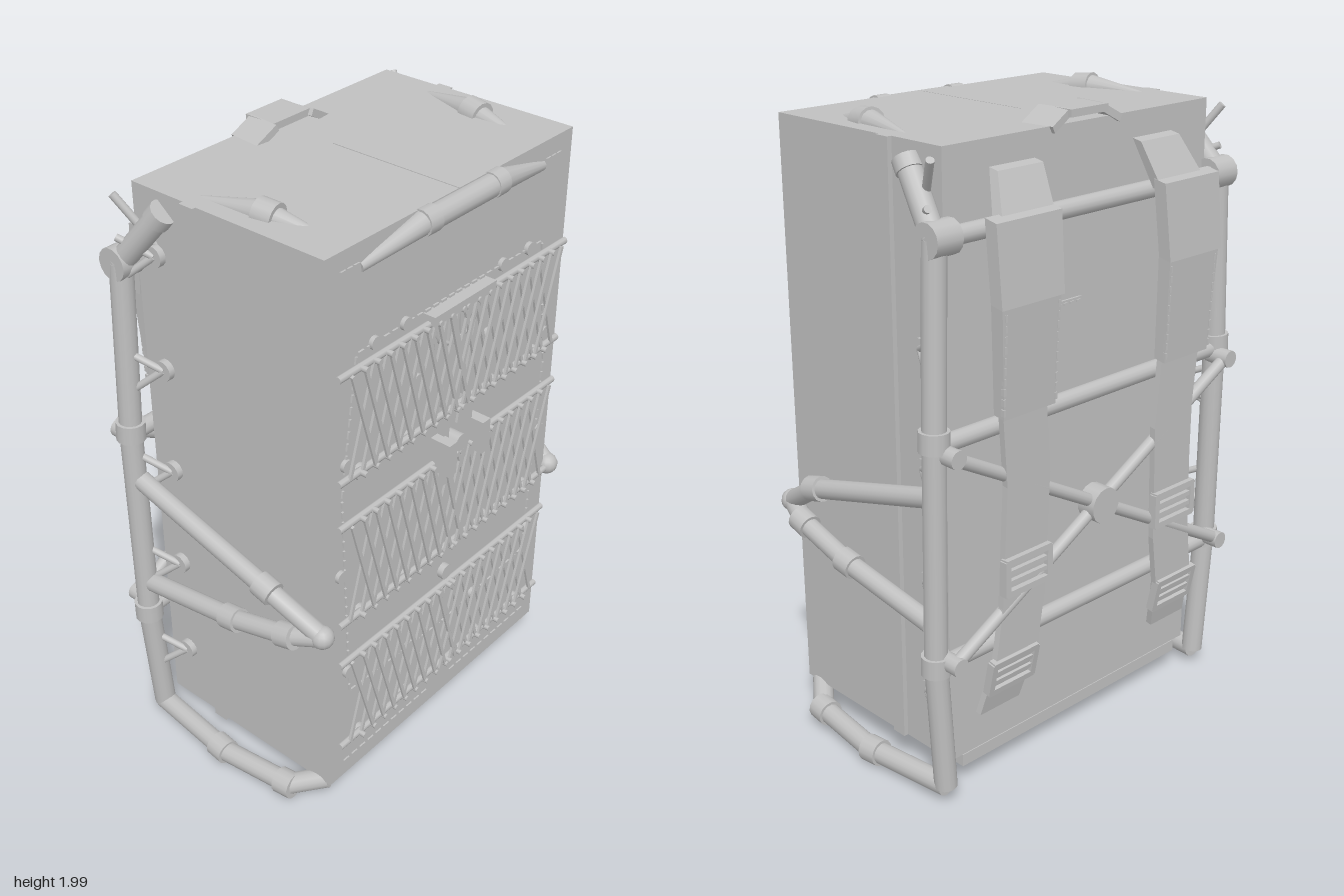
import * as THREE from 'three';

const grey = new THREE.MeshStandardMaterial({ color: 0xc0c0c0 });
grey.name = 'light grey';
const V = (x, y, z) => new THREE.Vector3(x, y, z);
const UP = V(0, 1, 0);

function add(parent, name, geometry, x = 0, y = 0, z = 0) {
  const m = new THREE.Mesh(geometry, grey);
  m.name = name;
  m.position.set(x, y, z);
  parent.add(m);
  return m;
}
const box = (parent, name, w, h, d, x, y, z) => add(parent, name, new THREE.BoxGeometry(w, h, d), x, y, z);

// Cylinder between two points; r2 is the radius at b
function rod(parent, name, a, b, r, r2 = r, sides = 14) {
  const d = b.clone().sub(a);
  const m = add(parent, name, new THREE.CylinderGeometry(r2, r, d.length(), sides));
  m.position.copy(a).add(b).multiplyScalar(0.5);
  m.quaternion.setFromUnitVectors(UP, d.normalize());
  return m;
}

// Short ring around the segment a-b, at fraction t
function collar(parent, a, b, t, r, len = 0.06) {
  const c = a.clone().lerp(b, t);
  const d = b.clone().sub(a).normalize().multiplyScalar(len / 2);
  rod(parent, 'collar', c.clone().sub(d), c.clone().add(d), r);
}

// Chain of tubes with round joints
function pipe(parent, name, pts, r) {
  for (let i = 0; i + 1 < pts.length; i++) {
    rod(parent, name, pts[i], pts[i + 1], r);
    if (i) add(parent, 'joint', new THREE.SphereGeometry(r * 1.02, 14, 10)).position.copy(pts[i]);
  }
}

// Flat bar between two points on the front plane
function slat(parent, x1, y1, x2, y2, z, w = 0.011) {
  const m = box(parent, 'latticeSlat', w, Math.hypot(x2 - x1, y2 - y1), 0.008, (x1 + x2) / 2, (y1 + y2) / 2, z);
  m.rotation.z = -Math.atan2(x2 - x1, y2 - y1);
}

function buildCabinet(g) {
  box(g, 'cabinetBack', 1.07, 1.845, 0.20, 0, 1.037, -0.217);
  box(g, 'cabinetBand', 1.1, 1.845, 0.05, 0, 1.037, -0.095);
  for (const s of [-1, 1]) {
    box(g, 'door', 0.5365, 1.845, 0.445, s * 0.27, 1.037, 0.1525);
    // Vent slits
    for (let i = 0; i < 11; i++) box(g, 'ventSlit', 0.026, 0.014, 0.008, s * (0.075 + i * 0.039), 0.172, 0.376);
    for (let i = 0; i < 3; i++) box(g, 'upperSlit', 0.02, 0.01, 0.008, s * (0.42 + i * 0.026), 1.9, 0.376);
    // Tapered bumper on the roof
    const a = V(s * 0.48, 1.95, -0.12), b = V(s * 0.445, 1.957, 0.08), c = V(s * 0.418, 1.94, 0.25);
    rod(g, 'roofBumper', a, b, 0.008, 0.038);
    rod(g, 'roofBumper', b, c, 0.038, 0.012);
    collar(g, b, c, 0.1, 0.044);
    // Tapered front bumper ends
    const d = V(s * 0.17, 1.925, 0.385), e = V(s * 0.4, 1.885, 0.368);
    rod(g, 'frontBumperEnd', d, e, 0.034, 0.016);
    collar(g, V(0, 1.925, 0.388), d, 0.88, 0.039, 0.05);
  }
  rod(g, 'frontBumper', V(-0.17, 1.925, 0.387), V(0.17, 1.925, 0.387), 0.034);
  box(g, 'bottomRail', 0.98, 0.04, 0.06, 0, 0.095, -0.29);
  // Grab handle on the roof edge
  box(g, 'topHandle', 0.15, 0.022, 0.11, 0, 1.988, -0.28);
  for (const s of [-1, 1]) {
    const m = box(g, 'handleSide', 0.085, 0.022, 0.11, s * 0.105, 1.97, -0.27);
    m.rotation.set(0, s * 0.1, -s * 0.5);
  }
  box(g, 'backPocket', 0.27, 0.31, 0.008, 0.145, 1.3, -0.32);
  for (let i = 0; i < 10; i++) box(g, 'pocketStitch', 0.016, 0.007, 0.006, 0.025 + i * 0.026, 1.445, -0.325);
}

function buildGrilles(g) {
  for (const [top, bottom] of [[1.612, 1.278], [1.122, 0.77], [0.615, 0.28]]) {
    for (const y of [top, bottom]) rod(g, 'grilleRail', V(-0.515, y, 0.395), V(0.515, y, 0.395), 0.011, 0.011, 8);
    for (const s of [-1, 1]) {
      // Crossed slats, the two halves overlapping at the middle
      for (let i = 0; i < 9; i++) {
        const x = -0.04 + i * 0.052;
        slat(g, s * x, top, s * (x + 0.1), bottom, 0.403);
        slat(g, s * (x + 0.1), top, s * x, bottom, 0.412);
        for (const y of [top, bottom]) {
          rod(g, 'slatPin', V(s * (x + 0.05), y, 0.39), V(s * (x + 0.05), y, 0.423), 0.009, 0.009, 8);
        }
      }
      for (const x of [0.19, 0.41]) rod(g, 'railHook', V(s * x, bottom - 0.015, 0.37), V(s * x, bottom - 0.015, 0.392), 0.025);
    }
  }
  // Latch hardware around the door gap
  box(g, 'latchBar', 0.28, 0.03, 0.045, 0, 1.625, 0.395);
  rod(g, 'lock', V(0, 1.16, 0.37), V(0, 1.16, 0.425), 0.028);
  for (const s of [-1, 1]) {
    box(g, 'doorHandle', 0.036, 0.11, 0.07, s * 0.08, 1.155, 0.42);
    box(g, 'handlePlate', 0.025, 0.24, 0.035, s * 0.055, 1.15, 0.392);
    slat(g, s * 0.1, 1.55, s * 0.03, 1.2, 0.385, 0.014);
    slat(g, s * 0.02, 1.6, s * 0.075, 1.02, 0.385, 0.014);
  }
  const arc = add(g, 'latchRing', new THREE.TorusGeometry(0.105, 0.008, 6, 20, Math.PI), 0, 1.6, 0.385);
  arc.rotation.z = Math.PI;

  // Dashed stitching outline and rivets
  const line = [[0, 1.645], [0.42, 1.64], [0.48, 1.2], [0.45, 0.46], [0, 0.43]];
  for (const s of [-1, 1]) {
    for (let i = 0; i < 4; i++) {
      const [x1, y1] = line[i], [x2, y2] = line[i + 1];
      const n = Math.round(Math.hypot(x2 - x1, y2 - y1) / 0.036);
      for (let k = 0; k < n; k++) {
        const t = (k + 0.5) / n;
        const m = box(g, 'stitch', 0.022, 0.007, 0.008, s * (x1 + (x2 - x1) * t), y1 + (y2 - y1) * t, 0.377);
        m.rotation.z = s * Math.atan2(y2 - y1, x2 - x1);
      }
    }
    for (const [x, y] of [[0.35, 1.645], [0.22, 1.645], [0.165, 1.44], [0.465, 1.31], [0.49, 0.935], [0.46, 0.55], [0.165, 0.45]]) {
      rod(g, 'rivet', V(s * x, y, 0.37), V(s * x, y, 0.388), 0.02);
    }
  }
  rod(g, 'rivet', V(0, 0.65, 0.37), V(0, 0.65, 0.395), 0.026);
}

// One side of the tube frame; s is the side of the model
function buildFrameSide(g, s) {
  const P = (x, y, z) => V(s * x, y, z);
  const post = [P(0.582, 1.73, -0.335), P(0.602, 1.16, -0.343), P(0.605, 0.48, -0.338), P(0.575, 0.06, -0.337)];
  pipe(g, 'framePost', post, 0.035);
  collar(g, post[0], post[1], 0.97, 0.045);
  collar(g, post[1], post[2], 0.99, 0.045);
  rod(g, 'shoulderJoint', P(0.525, 1.73, -0.338), P(0.615, 1.73, -0.338), 0.05);
  rod(g, 'upperBrace', post[0], P(0.545, 1.91, -0.19), 0.035);
  collar(g, post[0], P(0.545, 1.91, -0.19), 0.93, 0.04, 0.04);
  rod(g, 'peg', P(0.59, 1.935, -0.335), P(0.53, 1.79, -0.24), 0.012);
  // Foot tube
  const foot = [P(0.575, 0.06, -0.34), P(0.605, 0.05, -0.02), P(0.585, 0.065, 0.24), P(0.51, 0.105, 0.34)];
  pipe(g, 'footTube', foot, 0.033);
  collar(g, foot[0], foot[1], 0.94, 0.042);
  collar(g, foot[1], foot[2], 0.97, 0.042);
  // Side arm loop
  const tip = P(0.565, 0.755, 0.375);
  const upper = [P(0.598, 1.0, -0.32), P(0.603, 0.862, 0.2), tip];
  const lower = [P(0.6, 0.605, -0.31), P(0.606, 0.67, 0.06), P(0.6, 0.725, 0.27), tip];
  pipe(g, 'upperArm', upper, 0.03);
  pipe(g, 'lowerArm', lower, 0.03);
  collar(g, upper[0], upper[1], 0.99, 0.039);
  collar(g, lower[0], lower[1], 0.97, 0.039);
  collar(g, lower[1], lower[2], 1, 0.039);
  add(g, 'armTip', new THREE.SphereGeometry(0.036, 14, 10)).position.copy(tip);
  // Brackets tying the posts to the cabinet
  for (const y of [1.765, 1.4, 1.045, 0.69, 0.33]) {
    rod(g, 'bracketPad', P(0.53, y, -0.235), P(0.555, y, -0.235), 0.032);
    rod(g, 'bracketRod', P(0.55, y, -0.235), P(0.595, y + 0.045, -0.33), 0.011);
    rod(g, 'bracketRod', P(0.55, y, -0.235), P(0.595, y - 0.085, -0.33), 0.011);
  }
}

// Padded strap: cross-sections [x, y, z, half width, half thickness] joined into a slab
function strapSlab(g, name, s, sections) {
  const pos = [], idx = [];
  for (const [x, y, z, w, t] of sections) {
    for (const [a, b] of [[-1, -1], [1, -1], [1, 1], [-1, 1]]) pos.push(s * x + a * w, y + b * t * 0.2, z + b * t);
  }
  const last = (sections.length - 1) * 4;
  for (let i = 0; i < last; i += 4) {
    for (let k = 0; k < 4; k++) {
      const a = i + k, b = i + (k + 1) % 4;
      idx.push(a, a + 4, b, b, a + 4, b + 4);
    }
  }
  idx.push(0, 1, 2, 0, 2, 3, last, last + 2, last + 1, last, last + 3, last + 2);
  // Sections run from top to bottom, so the side loops are reversed to face outward
  for (let i = 0; i < idx.length - 12; i += 3) [idx[i + 1], idx[i + 2]] = [idx[i + 2], idx[i + 1]];
  for (let i = idx.length - 12; i < idx.length; i += 3) [idx[i + 1], idx[i + 2]] = [idx[i + 2], idx[i + 1]];
  let geo = new THREE.BufferGeometry();
  geo.setAttribute('position', new THREE.Float32BufferAttribute(pos, 3));
  // Orient every face outward from its own slab
  const p = (i) => V(pos[i * 3], pos[i * 3 + 1], pos[i * 3 + 2]);
  for (let i = 0; i < idx.length; i += 3) {
    const [a, b, c] = [p(idx[i]), p(idx[i + 1]), p(idx[i + 2])];
    const lo = Math.min(idx[i], idx[i + 1], idx[i + 2]) >> 2, base = Math.min(lo, sections.length - 2) * 4;
    const mid = V(0, 0, 0);
    for (let k = 0; k < 8; k++) mid.add(p(base + k));
    const n = b.clone().sub(a).cross(c.clone().sub(a));
    const out = a.clone().add(b).add(c).divideScalar(3).sub(mid.divideScalar(8));
    if (n.dot(out) < 0) [idx[i + 1], idx[i + 2]] = [idx[i + 2], idx[i + 1]];
  }
  geo.setIndex(idx);
  geo = geo.toNonIndexed();
  geo.computeVertexNormals();
  return add(g, name, geo);
}

function buildStrap(g, s) {
  strapSlab(g, 'strapTop', s, [[0.285, 1.88, -0.335, 0.085, 0.016], [0.32, 1.74, -0.405, 0.1, 0.02]]);
  strapSlab(g, 'upperPad', s, [[0.335, 1.77, -0.415, 0.122, 0.022], [0.34, 1.54, -0.438, 0.118, 0.022]]);
  strapSlab(g, 'lowerPad', s, [[0.34, 1.55, -0.432, 0.112, 0.022], [0.335, 1.22, -0.422, 0.1, 0.02]]);
  strapSlab(g, 'strapBand', s, [[0.335, 1.24, -0.412, 0.085, 0.01], [0.315, 1, -0.41, 0.085, 0.01], [0.33, 0.62, -0.407, 0.085, 0.01],
    [0.355, 0.45, -0.405, 0.085, 0.01], [0.385, 0.27, -0.362, 0.08, 0.01]]);
  // Stitched pad edges
  for (let i = 0; i < 10; i++) {
    for (const e of [-1, 1]) box(g, 'padStitch', 0.008, 0.02, 0.012, s * 0.337 + e * 0.1, 1.51 - i * 0.03, -0.449 + i * 0.0009);
  }
  // Buckles: frame with two crossbars
  for (const [x, y, z, tilt] of [[0.325, 0.72, -0.422, 0], [0.365, 0.4, -0.402, -0.2]]) {
    const b = new THREE.Group();
    b.name = 'buckle';
    b.position.set(s * x, y, z);
    b.rotation.x = tilt;
    for (const e of [-1, 1]) {
      box(b, 'buckleSide', 0.02, 0.11, 0.026, e * 0.085, 0, 0);
      box(b, 'buckleEdge', 0.18, 0.02, 0.026, 0, e * 0.05, 0);
      box(b, 'buckleBar', 0.15, 0.014, 0.02, 0, e * 0.016, 0);
    }
    g.add(b);
  }
}

export function createModel() {
  const model = new THREE.Group();
  model.name = 'backpackCabinet';
  const part = (name, build, ...args) => {
    const g = new THREE.Group();
    g.name = name;
    build(g, ...args);
    model.add(g);
    return g;
  };
  part('cabinet', buildCabinet);
  part('frontGrilles', buildGrilles);
  for (const s of [-1, 1]) {
    part('sideFrame', buildFrameSide, s);
    part('shoulderStrap', buildStrap, s);
  }
  // Crossbars and diagonal brace on the back
  part('backBrace', (g) => {
    for (const [y, w] of [[1.73, 0.58], [1.16, 0.6], [0.48, 0.6]]) rod(g, 'crossbar', V(-w, y, -0.345), V(w, y, -0.345), 0.027);
    for (const s of [-1, 1]) rod(g, 'diagonal', V(-s * 0.59, 1.14, -0.4), V(s * 0.59, 0.5, -0.4), 0.02);
    rod(g, 'hub', V(0, 0.82, -0.37), V(0, 0.82, -0.432), 0.057);
    for (const s of [-1, 1]) for (const y of [1.14, 0.5]) rod(g, 'braceEnd', V(s * 0.585, y, -0.34), V(s * 0.585, y, -0.425), 0.028);
  });
  return model;
}
